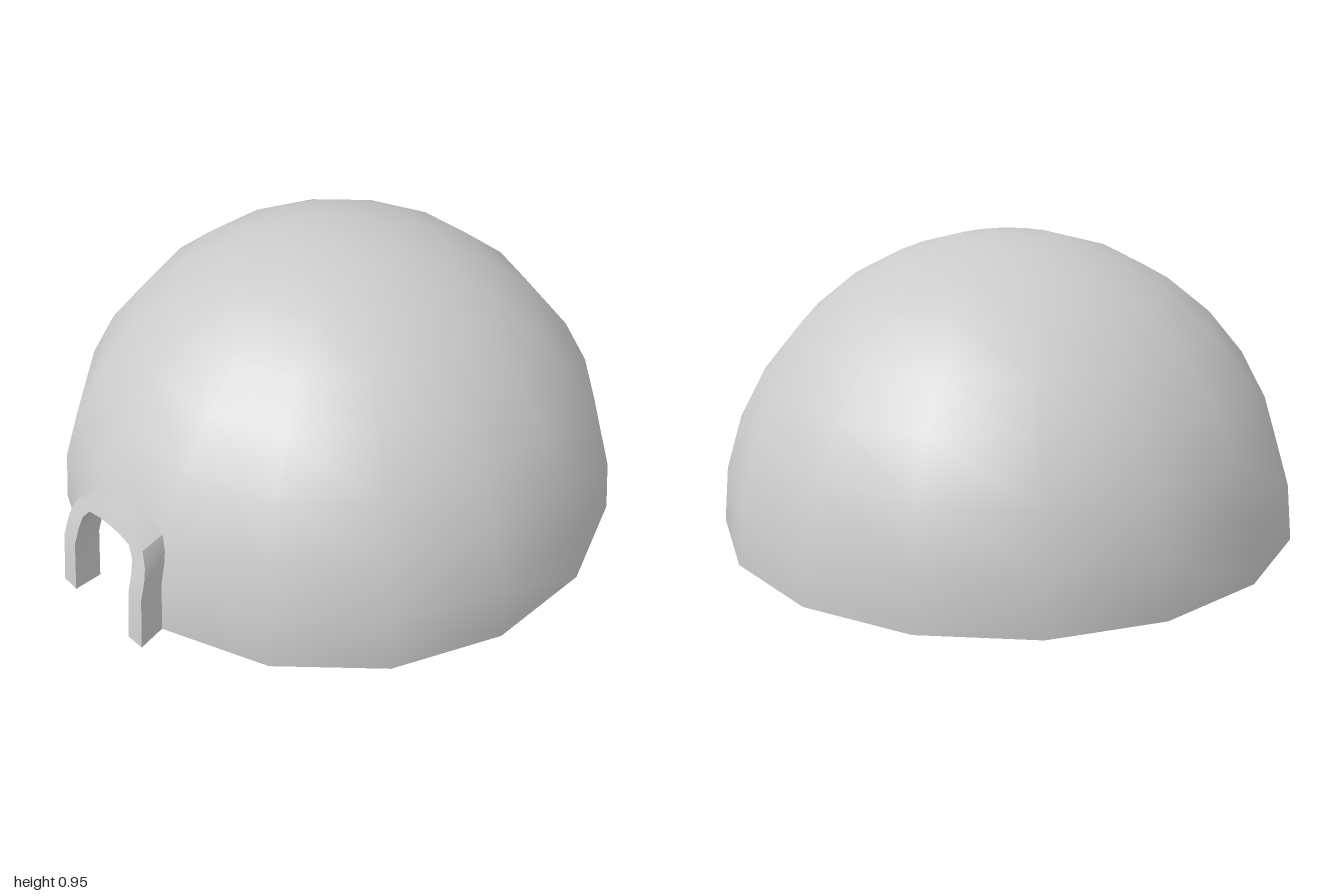
import * as THREE from 'three';
import { toCreasedNormals } from 'three/addons/utils/BufferGeometryUtils.js';

const R = 0.95, SEG = 16, ROWS = 8, HALF = Math.PI / SEG;
const ringY = k => R * Math.sin(k * HALF);
const ringR = k => R * Math.cos(k * HALF);

// Horizontal radius of the faceted dome at height y, along the corner lines
function domeRadius(y) {
  const k = y < ringY(1) ? 0 : 1;
  return THREE.MathUtils.mapLinear(y, ringY(k), ringY(k + 1), ringR(k), ringR(k + 1));
}

// Points in the door's own frame: x across the dome panel, z outwards
const onPanel = (x, y, out = 0) => new THREE.Vector3(x, y, domeRadius(y) * Math.cos(HALF) + out);
const byFraction = (s, y) => onPanel(s * domeRadius(y) * Math.sin(HALF), y);
const mirrored = half => [...half, ...half.slice(0, -1).reverse().map(([x, y]) => [-x, y])];

// Triangles of a quad strip running between two rows of points
function strip(a, b) {
  const out = [];
  for (let i = 0; i < a.length - 1; i++) out.push(a[i], b[i], b[i + 1], a[i], b[i + 1], a[i + 1]);
  return out;
}

export function createModel() {
  const group = new THREE.Group();
  const material = new THREE.MeshStandardMaterial({ color: 0xcccccc, side: THREE.DoubleSide });
  const add = (name, geometry, parent) => {
    const mesh = new THREE.Mesh(geometry, material);
    mesh.name = name;
    parent.add(mesh);
  };
  const body = new THREE.Group();
  body.name = 'domeHut';
  body.position.z = -0.05;
  group.add(body);

  // Dome shell, without the two lowest cells of the doorway panel
  const dome = new THREE.SphereGeometry(R, SEG, ROWS, 0, Math.PI * 2, 0, Math.PI / 2);
  const pos = dome.attributes.position, kept = [], c = new THREE.Vector3(), v = new THREE.Vector3();
  for (let i = 0; i < dome.index.count; i += 3) {
    const tri = [0, 1, 2].map(k => dome.index.getX(i + k));
    c.set(0, 0, 0);
    tri.forEach(k => c.add(v.fromBufferAttribute(pos, k)));
    c.divideScalar(3);
    const inDoor = c.y < ringY(2) && c.z > 0.7 && c.x < 0 && c.x > -0.36;
    if (!inDoor) kept.push(...tri);
  }
  dome.setIndex(kept);
  add('domeShell', dome, body);

  // Doorway, turned to face along its panel
  const door = new THREE.Group();
  door.name = 'doorway';
  door.rotation.y = -HALF;
  body.add(door);

  const y1 = ringY(1), y2 = ringY(2);
  const inner = mirrored([[0.14, 0], [0.14, y1], [0.135, 0.25], [0.126, 0.29], [0.1, 0.322], [0.05, 0.33], [0, 0.332]]);
  const outer = mirrored([[1, 0], [1, y1], [1, 0.25], [0.97, 0.29], [0.85, 0.335], [0.5, 0.358], [0, 0.367]]);
  const panel = mirrored([[1, 0], [1, y1], [1, 0.25], [1, 0.3], [1, y2], [0.5, y2], [0, y2]]);

  // Wall around the opening, shaded with the dome
  const innerBack = inner.map(([x, y]) => onPanel(x, y));
  const wallPoints = strip(innerBack, panel.map(([s, y]) => byFraction(s, y)));
  const wall = new THREE.BufferGeometry().setFromPoints(wallPoints);
  const normals = wallPoints.flatMap(p => p.clone().normalize().toArray());
  wall.setAttribute('normal', new THREE.Float32BufferAttribute(normals, 3));
  add('doorWall', wall, door);

  // Arched frame: a four-cornered section swept round the opening, flaring outwards
  const outerBack = outer.map(([s, y]) => byFraction(s, y));
  const rows = [
    innerBack,
    inner.map(([x, y]) => onPanel(x, y, 0.1 * domeRadius(y))),
    outerBack.map(p => new THREE.Vector3(p.x * 1.1, p.y, p.z * 1.1)),
    outerBack,
  ];
  const points = rows.flatMap((row, j) => strip(row, rows[(j + 1) % 4]));
  const last = inner.length - 1;
  const [a, b, d, e] = rows.map(row => row[0]);
  const [f, g, h, k] = rows.map(row => row[last]);
  points.push(a, d, b, a, e, d, f, g, h, f, h, k); // feet
  const frame = new THREE.BufferGeometry().setFromPoints(points);
  add('doorFrame', toCreasedNormals(frame, 0.6), door);

  return group;
}
